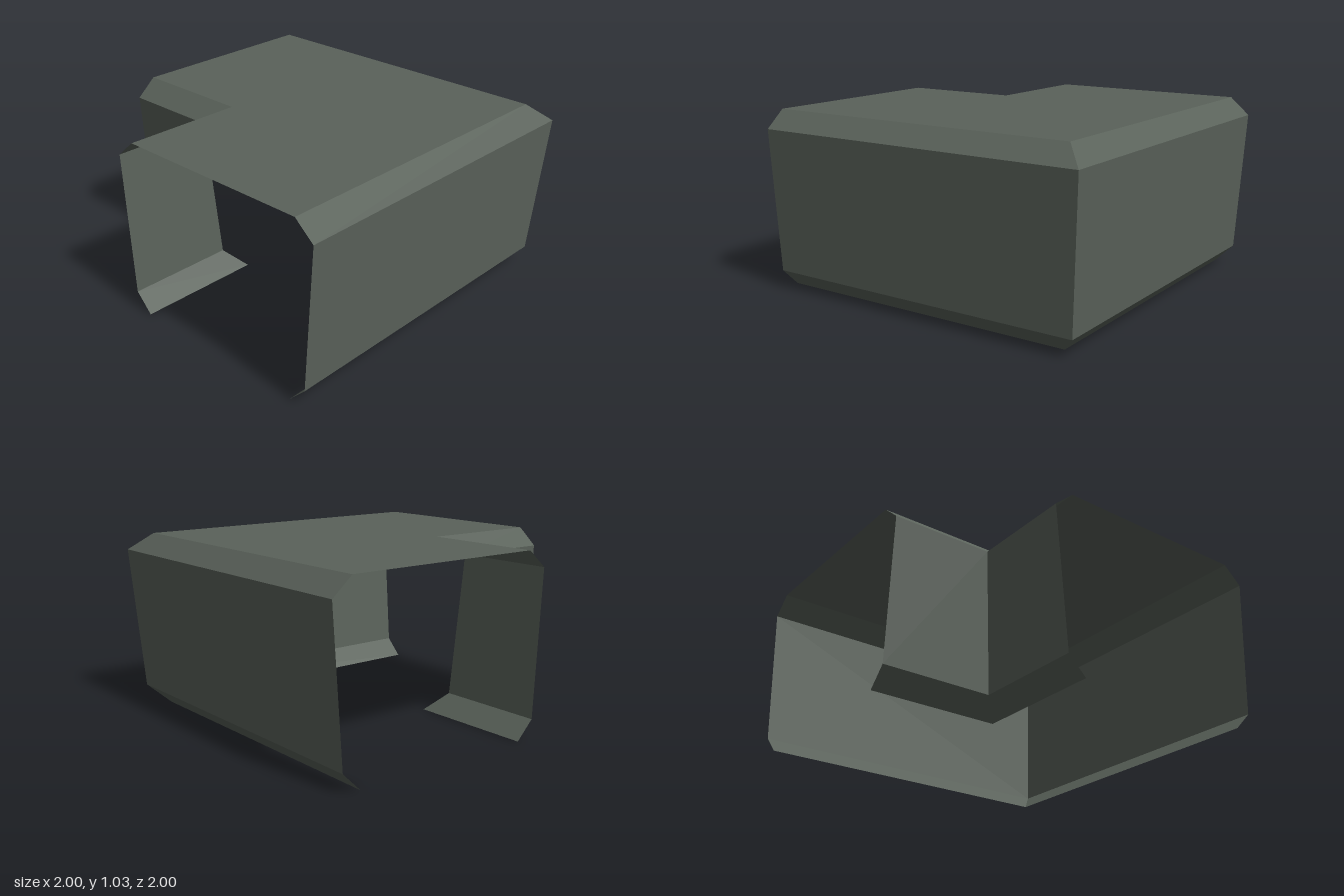
import * as THREE from 'three';

// Half cross-section of the shell: [half width, height], from bottom lip to roof edge
const HALF = [[0.545, 0], [0.65, 0.105], [0.705, 0.935], [0.59, 1.035]];
const CENTRE = 0.295;

// Full open profile, from the outer bottom lip over the roof to the inner bottom lip
const profile = [
  ...HALF.map(([w, y]) => [CENTRE + w, y]),
  ...[...HALF].reverse().map(([w, y]) => [CENTRE - w, y]),
];
const names = ['outerBottomLip', 'outerWall', 'outerRoofBevel', 'roof',
  'innerRoofBevel', 'innerWall', 'innerBottomLip'];

// A profile point swept along the L: front end, mitred corner, side end
const sweep = ([x, y]) => [[x, y, 1], [x, y, -x], [-1, y, -x]];

// One strip between neighbouring profile points, bent round the corner
function strip(p, q) {
  const a = sweep(p), b = sweep(q), pos = [];
  for (let i = 0; i < 2; i++) {
    pos.push(...a[i], ...a[i + 1], ...b[i + 1], ...a[i], ...b[i + 1], ...b[i]);
  }
  const geometry = new THREE.BufferGeometry();
  geometry.setAttribute('position', new THREE.Float32BufferAttribute(pos, 3));
  geometry.computeVertexNormals();
  return geometry;
}

export function createModel() {
  const group = new THREE.Group();
  group.name = 'cornerCorridorShell';
  const material = new THREE.MeshStandardMaterial({ color: 0x5a625a, side: THREE.DoubleSide });
  material.name = 'greyGreenPanel';
  names.forEach((name, i) => {
    const mesh = new THREE.Mesh(strip(profile[i], profile[i + 1]), material);
    mesh.name = name;
    group.add(mesh);
  });
  return group;
}
